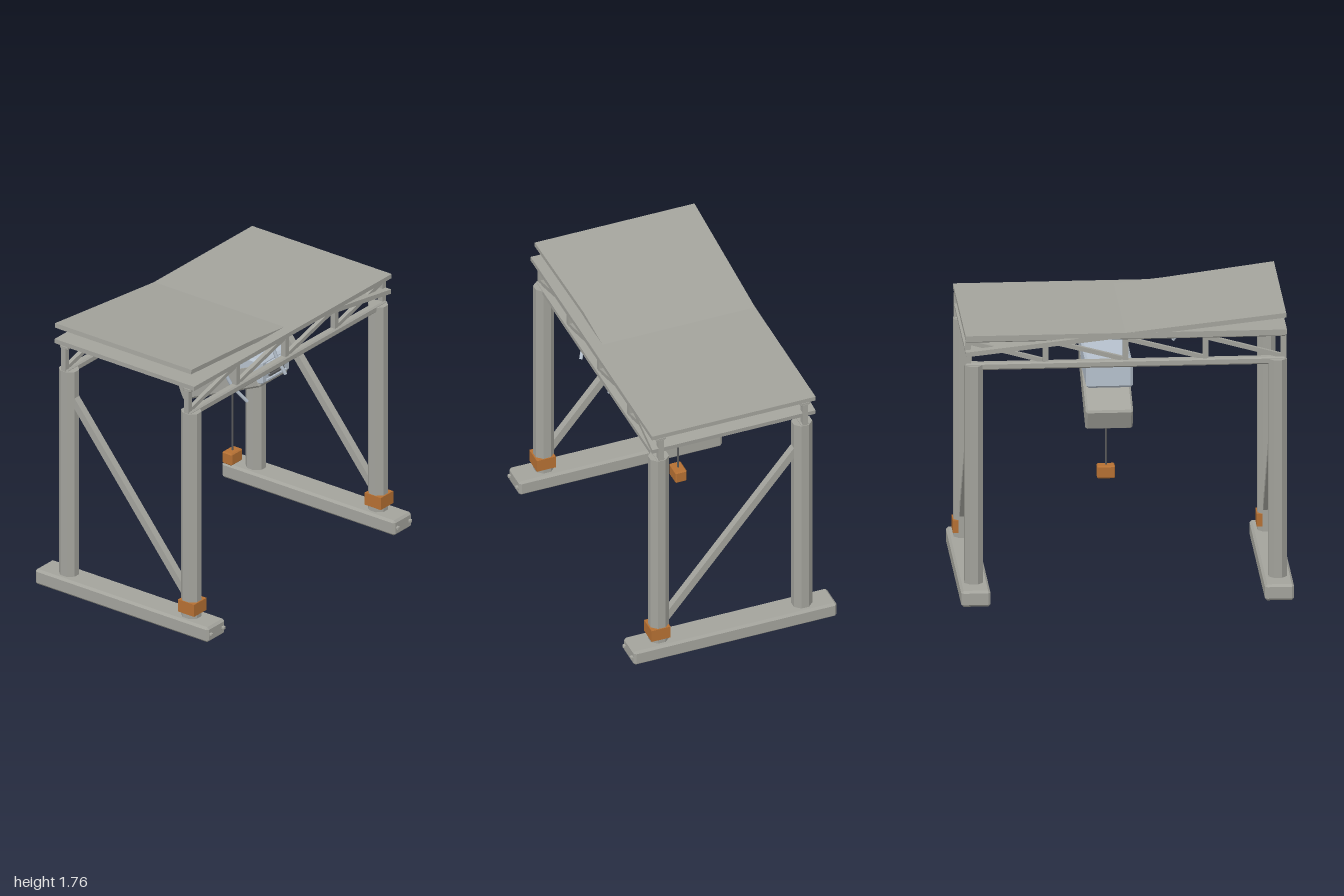
import * as THREE from 'three';
import { ConvexGeometry } from 'three/addons/geometries/ConvexGeometry.js';

const material = (name, color) => {
  const m = new THREE.MeshStandardMaterial({ color });
  m.name = name;
  return m;
};

export function createModel() {
  const steel = material('warm grey steel', 0xa3a39c);
  const metal = material('pale blue metal', 0xb6c1cd);
  const orange = material('orange paint', 0xb57033);
  const dark = material('dark grey', 0x5a5b5c);
  const model = new THREE.Group();
  model.name = 'gantry';

  const add = (name, geometry, mat, x = 0, y = 0, z = 0, parent = model) => {
    const mesh = new THREE.Mesh(geometry, mat);
    mesh.name = name;
    mesh.position.set(x, y, z);
    parent.add(mesh);
    return mesh;
  };

  // Box with a flat chamfer along every edge
  const bevelBox = (w, h, d, c) => {
    const points = [];
    for (const sx of [-1, 1]) for (const sy of [-1, 1]) for (const sz of [-1, 1]) {
      for (let flush = 0; flush < 3; flush++) {
        points.push(new THREE.Vector3(
          sx * (w / 2 - (flush === 0 ? 0 : c)),
          sy * (h / 2 - (flush === 1 ? 0 : c)),
          sz * (d / 2 - (flush === 2 ? 0 : c))));
      }
    }
    return new ConvexGeometry(points);
  };

  // Square bar running between two points
  const bar = (name, a, b, size, parent = model) => {
    const from = new THREE.Vector3(...a), to = new THREE.Vector3(...b);
    const mesh = add(name, new THREE.BoxGeometry(size, size, from.distanceTo(to)), steel, 0, 0, 0, parent);
    mesh.position.copy(from).add(to).multiplyScalar(0.5);
    mesh.lookAt(to);
    return mesh;
  };

  // Side frames: foot beam, two posts, brace, collar and bolts
  const postGeometry = new THREE.CylinderGeometry(0.0615, 0.0615, 1.37, 8).toNonIndexed();
  postGeometry.rotateY(Math.PI / 8);
  postGeometry.scale(0.96, 1, 1.04);
  postGeometry.computeVertexNormals();
  for (const s of [-1, 1]) {
    const frame = new THREE.Group();
    frame.name = s > 0 ? 'leftFrame' : 'rightFrame';
    model.add(frame);
    add('footBeam', bevelBox(0.175, 0.1, 1.31, 0.014), steel, s * 0.9095, 0.05, -0.002, frame);
    for (const z of [-0.462, 0.462]) add('post', postGeometry, steel, s * 0.91, 0.778, z, frame);
    bar('brace', [s * 0.91, 0.215, 0.45], [s * 0.91, 1.31, -0.45], 0.046, frame);
    add('collar', new THREE.BoxGeometry(0.122, 0.08, 0.122), orange, s * 0.91, 0.17, 0.469, frame);
    for (const dx of [-0.06, 0.06]) {
      add('bolt', bevelBox(0.022, 0.022, 0.02, 0.004), steel, s * 0.91 + dx, 0.05, 0.658, frame);
    }
  }

  // Front and back trusses, four bays each
  for (const z of [-0.465, 0.465]) {
    const truss = new THREE.Group();
    truss.name = z > 0 ? 'frontTruss' : 'backTruss';
    model.add(truss);
    add('bottomChord', bevelBox(1.92, 0.045, 0.05, 0.009), steel, 0, 1.4525, z, truss);
    add('topChord', bevelBox(1.92, 0.026, 0.06, 0.006), steel, 0, 1.619, z, truss);
    const xs = [-0.945, -0.48, 0, 0.48, 0.945];
    xs.forEach((x, i) => {
      add('upright', new THREE.BoxGeometry(0.034, 0.15, 0.034), steel, x, 1.54, z, truss);
      if (i < 4) bar('diagonal', [x + 0.01, 1.478, z], [xs[i + 1] - 0.01, 1.602, z], 0.026, truss);
    });
  }

  // Orange dashes painted along the front top chord
  for (const [a, b] of [[-0.55, -0.41], [-0.31, -0.16], [0, 0.1], [0.16, 0.33], [0.41, 0.51]]) {
    add('chordStripe', new THREE.BoxGeometry(b - a, 0.01, 0.004), orange, (a + b) / 2, 1.618, 0.496);
  }

  // Level roof sheet and a second sheet tilted across it with a bowed front edge
  add('roofSheet', new THREE.BoxGeometry(1.925, 0.028, 1.055), steel, 0, 1.645, -0.003);
  const outline = new THREE.Shape([
    [-0.965, 0.53], [-0.965, -0.5], [-0.3, -0.455], [0.1, -0.455], [0.965, -0.522], [0.965, 0.53],
  ].map(([x, y]) => new THREE.Vector2(x, y)));
  const sheet = new THREE.ExtrudeGeometry(outline, { depth: 0.029, bevelEnabled: false });
  sheet.translate(0, 0, -0.0145);
  sheet.rotateX(-Math.PI / 2);
  add('tiltedRoofSheet', sheet, steel, 0, 1.645, 0).rotation.z = -0.107;

  // Hanging machine body with a front grille
  const cx = 0.085;
  add('machineBody', bevelBox(0.28, 0.158, 0.655, 0.014), metal, cx, 1.329, 0.002);
  for (let i = 0; i < 6; i++) {
    const outer = i === 0 || i === 5;
    add('grilleBar', new THREE.BoxGeometry(outer ? 0.19 : 0.14, 0.012, 0.014),
      outer ? metal : dark, cx, 1.275 + i * 0.0215, 0.334);
  }
  add('tiltedHousing', bevelBox(0.284, 0.146, 0.647, 0.012), steel, cx, 1.172, -0.003).rotation.x = -0.425;

  // Line and weight
  add('line', new THREE.CylinderGeometry(0.006, 0.006, 0.52, 8), dark, cx, 0.92, 0);
  add('weight', bevelBox(0.108, 0.078, 0.074, 0.007), orange, cx, 0.631, 0);

  // Loose pipes hanging from the roof
  for (const path of [
    [[-0.475, 1.6, 0.34], [-0.43, 1.43, 0.39], [-0.35, 1.3, 0.45]],
    [[0, 1.6, 0.35], [0.015, 1.45, 0.38], [0.05, 1.32, 0.43]],
  ]) {
    const curve = new THREE.CatmullRomCurve3(path.map((p) => new THREE.Vector3(...p)));
    add('loosePipe', new THREE.TubeGeometry(curve, 12, 0.011, 8), metal);
    for (const [t, dir] of [[0, -1], [1, 1]]) {
      const cap = add('pipeEnd', new THREE.CircleGeometry(0.011, 8), metal);
      cap.position.copy(curve.getPoint(t));
      cap.lookAt(curve.getPoint(t).addScaledVector(curve.getTangent(t), dir));
    }
  }
  return model;
}
